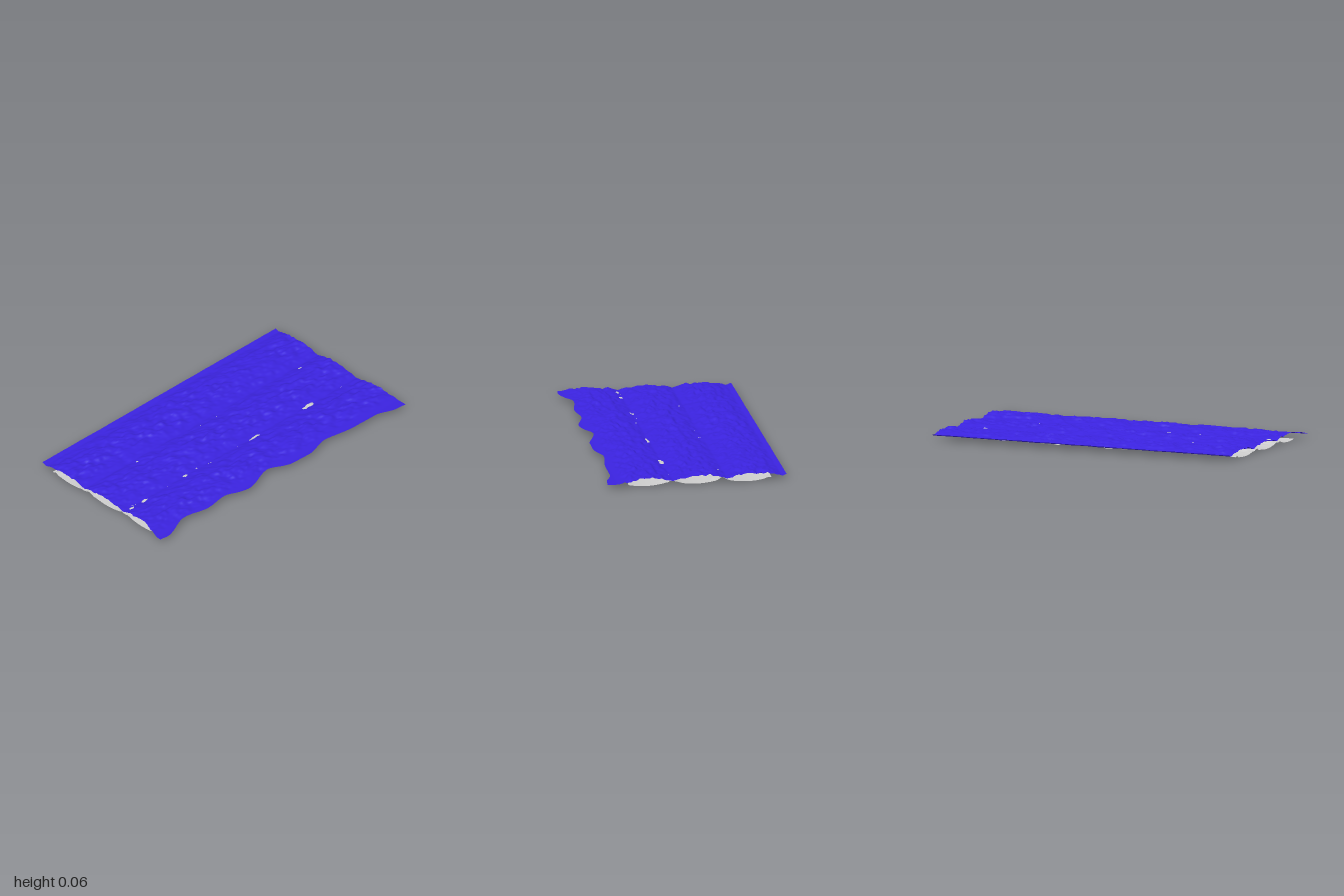
import * as THREE from 'three';

const { smoothstep, lerp } = THREE.MathUtils;

// Seeded lattice value noise in [-1, 1]
function hash(i, j, seed) {
  let h = Math.imul(i, 374761393) + Math.imul(j, 668265263) + Math.imul(seed, 1274126177);
  h = Math.imul(h ^ (h >>> 13), 1274126177);
  return ((h ^ (h >>> 16)) >>> 0) / 2147483648 - 1;
}
function noise(x, z, seed) {
  const i = Math.floor(x), j = Math.floor(z);
  const u = smoothstep(x - i, 0, 1), v = smoothstep(z - j, 0, 1);
  return lerp(
    lerp(hash(i, j, seed), hash(i + 1, j, seed), u),
    lerp(hash(i, j + 1, seed), hash(i + 1, j + 1, seed), u), v);
}
// Crumpled relief, stretched along z
const rough = (x, z, seed) =>
  0.65 * noise(x * 38, z * 20, seed) + 0.35 * noise(x * 75, z * 42, seed + 7);

// Wavy long edge: [z, x] turning points joined by smooth steps
const EDGE = [[-1, 0.54], [-0.94, 0.535], [-0.79, 0.492], [-0.63, 0.49], [-0.4, 0.463],
  [-0.24, 0.5], [-0.12, 0.497], [0.06, 0.445], [0.26, 0.498], [0.43, 0.455],
  [0.57, 0.47], [0.75, 0.445], [0.95, 0.507], [1, 0.5]];
function wavyEdge(z) {
  let k = 1;
  while (k < EDGE.length - 1 && EDGE[k][0] < z) k++;
  const [z0, x0] = EDGE[k - 1], [z1, x1] = EDGE[k];
  return lerp(x0, x1, smoothstep(z, z0, z1));
}

// Sheet whose straight side is xLeft, with an edge rule, end rules and a height rule
function sheet(name, color, { xLeft, edge, back, front, height }) {
  const geo = new THREE.PlaneGeometry(1, 1, 130, 220).rotateX(-Math.PI / 2);
  const p = geo.attributes.position;
  for (let i = 0; i < p.count; i++) {
    const u = p.getX(i) + 0.5, v = p.getZ(i) + 0.5;
    const x = lerp(xLeft, edge(lerp(-1, 1, v)), u);
    const z = lerp(back(x), front(x), v);
    p.setXYZ(i, x, height(x, z), z);
  }
  geo.computeVertexNormals();
  const mesh = new THREE.Mesh(geo,
    new THREE.MeshStandardMaterial({ color, side: THREE.DoubleSide }));
  mesh.name = name;
  return mesh;
}

// Upper layer: three arched ridges, roughest on the crests
function upperHeight(x, z) {
  const ridge = Math.max(-1, Math.min(1, Math.round((x + 0.02) / 0.328)));
  const d = (x + 0.02 - ridge * 0.328) / 0.164;
  const arch = Math.min(1, d * d);
  const lip = 0.01 * smoothstep(-x, 0.51, 0.54);
  const amount = 0.002 + 0.011 * (1 - arch) ** 0.6;
  const fade = 1 - smoothstep(x, 0.42, 0.46);
  return 0.051 - 0.024 * arch + lip + amount * fade * rough(x, z, 3);
}

// Lower layer: three smooth troughs meeting in rough ridges
function lowerHeight(x, z) {
  const trough = Math.max(-1, Math.min(1, Math.round(x / 0.308)));
  const d = Math.abs(x - trough * 0.308) / 0.154;
  const crest = smoothstep(d, 0.4, 0.95) * (1 - smoothstep(x, 0.3, 0.36));
  return 0.001 + 0.025 * Math.min(1.2, d * d) + 0.014 * crest * rough(x, z, 11);
}

export function createModel() {
  const model = new THREE.Group();
  model.name = 'layeredSheet';
  model.add(
    sheet('upperLayer', 0x3a22dd, {
      xLeft: -0.54,
      edge: wavyEdge,
      back: (x) => -0.98 - 0.02 * smoothstep(x, 0.22, 0.5),
      front: (x) => 0.96 + 0.04 * smoothstep(x, 0.28, 0.49),
      height: upperHeight,
    }),
    sheet('lowerLayer', 0xcccccc, {
      xLeft: -0.45,
      edge: (z) => 0.365 + 0.7 * (wavyEdge(z) - 0.475),
      back: () => -0.97,
      front: () => 0.96,
      height: lowerHeight,
    }),
  );
  return model;
}
